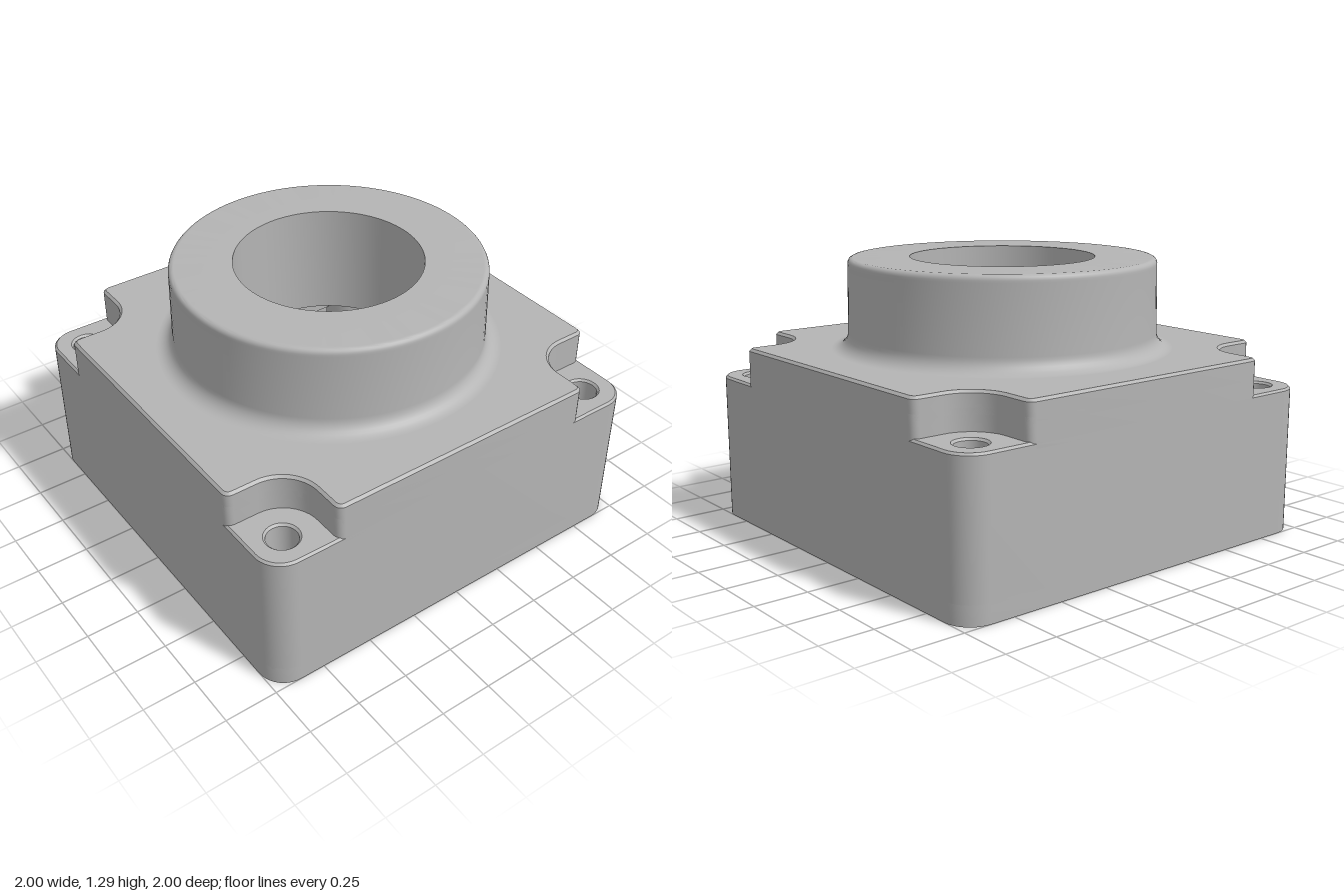
import * as THREE from 'three';
import { toCreasedNormals } from 'three/addons/utils/BufferGeometryUtils.js';

const metal = new THREE.MeshStandardMaterial({ color: 0xb4b4b4 });
metal.name = 'castGrey';

const BOLT = 0.847;
const CEILING = 0.76;
const V = (x, y) => new THREE.Vector2(x, y);

// Repeat one corner's points around the four corners
function fourfold(corner) {
  const pts = [];
  for (let k = 0; k < 4; k++) {
    for (const p of corner) pts.push(p.clone().rotateAround(V(0, 0), k * Math.PI / 2));
  }
  return pts;
}

// Points on an arc, in degrees
function arc(cx, cy, r, from, to, steps) {
  const pts = [];
  for (let i = 0; i <= steps; i++) {
    const a = THREE.MathUtils.degToRad(from + (to - from) * i / steps);
    pts.push(V(cx + r * Math.cos(a), cy + r * Math.sin(a)));
  }
  return pts;
}

const roundedSquare = (half, r) => fourfold(arc(half - r, half - r, r, 0, 90, 10));

// Square with rounded-off pockets around the bolt holes
const pocketedSquare = () => fourfold([
  ...arc(0.965, 0.64, 0.035, 0, 90, 4),
  ...arc(0.85, 0.85, 0.175, -90, -180, 12),
  ...arc(0.64, 0.965, 0.035, 0, 90, 4),
]);

// Cavity outline: square with slanted, softened corners
function cavity(half, sum) {
  const a = sum - half, e = 0.06;
  return fourfold([
    V(half, a - e), V(half - 0.175 * e, a - 0.075 * e), V(half - 0.7 * e, a + 0.7 * e),
    V(a + 0.7 * e, half - 0.7 * e), V(a - 0.075 * e, half - 0.175 * e), V(a - e, half),
  ]);
}

const circle = (x, y, r, n = 32) => arc(x, y, r, 0, 360 * (n - 1) / n, n - 1);
const boltHoles = () => [[1, 1], [-1, 1], [-1, -1], [1, -1]].map(([x, y]) => circle(x * BOLT, y * BOLT, 0.07));

// Plan outline extruded from y0 up to y1, with optional chamfered rims
function slab(name, outline, holes, y0, y1, bevel = 0) {
  const shape = new THREE.Shape(outline);
  shape.holes = holes.map((h) => new THREE.Path(h));
  const geo = new THREE.ExtrudeGeometry(shape, {
    depth: y1 - y0 - 2 * bevel, bevelEnabled: bevel > 0, bevelSize: bevel,
    bevelThickness: bevel, bevelOffset: -bevel, bevelSegments: 1,
  });
  geo.rotateX(-Math.PI / 2);
  geo.translate(0, y0 + bevel, 0);
  const mesh = new THREE.Mesh(toCreasedNormals(geo, 0.45), metal);
  mesh.name = name;
  return mesh;
}

function place(name, geo, x, y, z) {
  const mesh = new THREE.Mesh(geo, metal);
  mesh.name = name;
  mesh.position.set(x, y, z);
  return mesh;
}

export function createModel() {
  const model = new THREE.Group();
  model.name = 'bearingHousing';

  // Hollow body: stepped sealing rim, walls, pocketed shoulder, inner ledge and roof
  model.add(
    slab('bottomRim', roundedSquare(1, 0.13), [cavity(0.89, 1.54), ...boltHoles()], 0, 0.09),
    slab('sideWalls', roundedSquare(1, 0.13), [cavity(0.84, 1.4), ...boltHoles()], 0.07, 0.7, 0.01),
    slab('pocketedShoulder', pocketedSquare(), [cavity(0.84, 1.4)], 0.67, 0.8),
    slab('ceilingLedge', cavity(0.85, 1.41), [roundedSquare(0.58, 0.06)], 0.57, 0.78),
    slab('roof', pocketedSquare(), [circle(0, 0, 0.6, 64)], CEILING, 0.872, 0.012),
  );

  // Bored hub with a rounded top edge and a fillet at its foot
  const profile = [
    V(0.7, CEILING - 0.003), V(0.8, CEILING + 0.01), V(0.81, 0.872),
    ...arc(0.805, 0.947, 0.075, 270, 180, 8),
    V(0.725, 1.26),
    ...arc(0.7, 1.27, 0.025, 0, 90, 5),
    V(0.695, 1.295), V(0.435, 1.295), V(0.435, CEILING - 0.003), V(0.7, CEILING - 0.003),
  ];
  const hub = toCreasedNormals(new THREE.LatheGeometry(profile, 96), 0.6);
  model.add(place('hub', hub, 0, 0, 0));

  // Screw columns in two opposite inner corners, joined to the walls
  const column = [
    V(0.86, 0.42), V(0.86, 0.56), V(0.56, 0.86), V(0.42, 0.86), V(0.42, 0.7), V(0.5, 0.7),
    ...arc(0.55, 0.55, 0.135, 110, 340, 20),
    V(0.7, 0.5), V(0.7, 0.42),
  ];
  for (const turn of [0, Math.PI]) {
    const post = slab('screwColumn', column, [circle(0.55, 0.55, 0.045, 20)], 0.1, CEILING + 0.02);
    post.rotation.y = turn;
    model.add(post);
  }

  // Locating pins and a small stop hanging from the ledge
  const pin = new THREE.CylinderGeometry(0.025, 0.025, 0.55, 16);
  model.add(
    place('locatingPin', pin, -0.4, 0.345, 0.74),
    place('locatingPin', pin, 0.7, 0.345, -0.41),
    place('ledgeStop', new THREE.BoxGeometry(0.1, 0.13, 0.1), -0.75, 0.53, 0.24),
  );
  return model;
}
